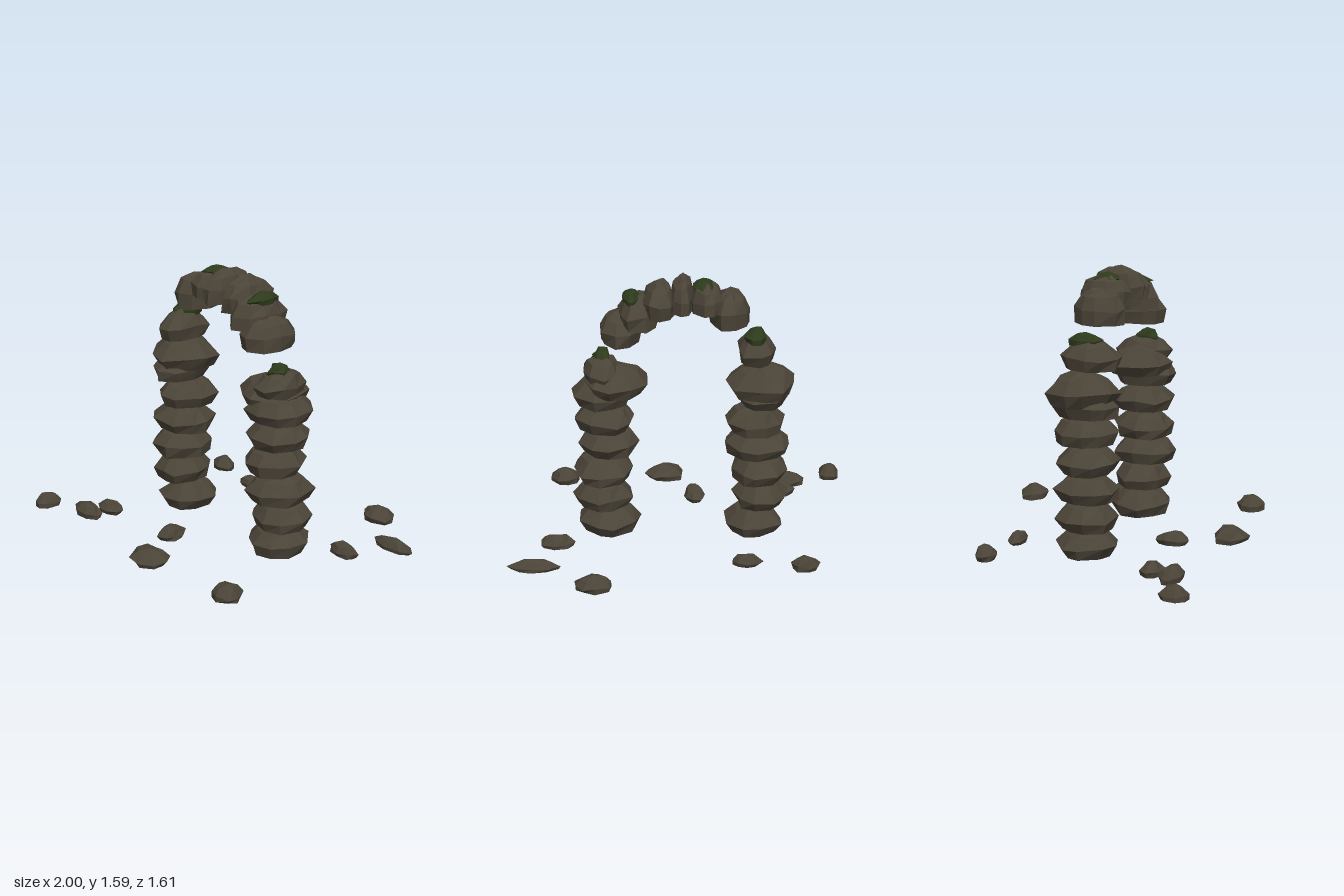
import * as THREE from 'three';

const stone = new THREE.MeshStandardMaterial({ color: 0x4a4337 });
stone.name = 'stone';
const moss = new THREE.MeshStandardMaterial({ color: 0x2d3a1b });
moss.name = 'moss';

// Small seeded generator, so that every stone is irregular but repeatable
function seeded(seed) {
  let s = seed * 7919 + 17;
  const next = () => (s = (s * 16807) % 2147483647) / 2147483647;
  next(); next();
  return next;
}

// Faceted boulder with a flat base, fitted to the box [x0, x1, y0, y1, z0, z1].
// rings: [height, radius] of each cross-section
function boulder(box, seed, rings, sides, rough) {
  const rnd = seeded(seed);
  const jitter = (k) => (rnd() - 0.5) * 2 * k;
  const turn = rnd() * 6.28;
  const angles = Array.from({ length: sides }, (_, i) => turn + ((i + jitter(0.2)) / sides) * Math.PI * 2);
  const points = [];
  rings.forEach(([h, r], level) => {
    for (const a of angles) {
      const radius = r * (1 + jitter(rough));
      const y = level === 0 ? 0 : h + jitter(rough * 0.7);
      points.push(new THREE.Vector3(Math.cos(a) * radius, y, Math.sin(a) * radius));
    }
  });
  points.push(new THREE.Vector3(0, 0, 0), new THREE.Vector3(jitter(0.2), 1.03, jitter(0.2)));

  // Stretch the rough shape to its exact box
  const b = new THREE.Box3().setFromPoints(points);
  const fit = (v, lo, hi, a, c) => a + ((v - lo) / (hi - lo)) * (c - a);
  for (const p of points) {
    p.set(
      fit(p.x, b.min.x, b.max.x, box[0], box[1]),
      fit(p.y, b.min.y, b.max.y, box[2], box[3]),
      fit(p.z, b.min.z, b.max.z, box[4], box[5]));
  }

  const index = [];
  const base = sides * rings.length, top = base + 1, last = sides * (rings.length - 1);
  for (let i = 0; i < sides; i++) {
    const j = (i + 1) % sides;
    index.push(base, i, j, top, last + j, last + i);
    for (let k = 0; k < rings.length - 1; k++) {
      const a = k * sides + i, c = k * sides + j;
      index.push(a, a + sides, c, c, a + sides, c + sides);
    }
  }
  const geo = new THREE.BufferGeometry().setFromPoints(points);
  geo.setIndex(index);
  const flat = geo.toNonIndexed();
  flat.computeVertexNormals();
  return flat;
}

const PILLAR = [[0, 0.83], [0.4, 1], [0.78, 0.68], [0.95, 0.3]];
const ARCH = [[0, 0.95], [0.45, 1], [0.8, 0.72], [0.97, 0.3]];
const RUBBLE = [[0, 0.88], [0.35, 1], [0.75, 0.62]];
const CLUMP = [[0, 0.9], [0.4, 1], [0.8, 0.6]];

export function createModel() {
  const model = new THREE.Group();
  model.name = 'ruinedStoneArch';
  let seed = 1;

  const addGroup = (name, partName, boxes, material, rings, sides, rough) => {
    const group = new THREE.Group();
    group.name = name;
    boxes.forEach((box, i) => {
      const mesh = new THREE.Mesh(boulder(box, seed++, rings, sides, rough), material);
      mesh.name = partName + (i + 1);
      group.add(mesh);
    });
    model.add(group);
  };

  // Stacked stones of the taller pillar
  addGroup('rightPillar', 'pillarStone', [
    [-0.60, -0.26, 0.005, 0.175, -0.17, 0.19],
    [-0.64, -0.30, 0.17, 0.34, -0.16, 0.19],
    [-0.63, -0.30, 0.335, 0.505, -0.16, 0.20],
    [-0.635, -0.26, 0.50, 0.665, -0.16, 0.20],
    [-0.61, -0.26, 0.66, 0.83, -0.16, 0.20],
    [-0.62, -0.32, 0.82, 0.98, -0.16, 0.21],
    [-0.66, -0.26, 0.89, 1.085, -0.19, 0.21],
    [-0.55, -0.33, 1.08, 1.26, -0.14, 0.20],
  ], stone, PILLAR, 9, 0.09);

  // Stacked stones of the broken pillar
  addGroup('leftPillar', 'pillarStone', [
    [0.235, 0.60, 0.005, 0.175, -0.18, 0.20],
    [0.28, 0.64, 0.17, 0.34, -0.155, 0.19],
    [0.28, 0.63, 0.335, 0.505, -0.155, 0.22],
    [0.24, 0.60, 0.50, 0.665, -0.155, 0.21],
    [0.27, 0.615, 0.66, 0.825, -0.16, 0.21],
    [0.29, 0.635, 0.82, 0.99, -0.16, 0.22],
    [0.19, 0.56, 0.89, 1.06, -0.195, 0.22],
    [0.34, 0.56, 0.96, 1.12, -0.15, 0.20],
  ], stone, PILLAR, 9, 0.09);

  // Wedge stones of the floating arch
  addGroup('arch', 'archStone', [
    [-0.395, -0.165, 1.31, 1.51, -0.13, 0.18],
    [-0.24, -0.05, 1.40, 1.565, -0.14, 0.16],
    [-0.075, 0.06, 1.40, 1.59, -0.13, 0.20],
    [0.03, 0.22, 1.375, 1.575, -0.16, 0.17],
    [0.12, 0.36, 1.31, 1.49, -0.15, 0.20],
    [0.22, 0.46, 1.21, 1.39, -0.15, 0.20],
  ], stone, ARCH, 9, 0.09);

  // Moss clumps on the upper stones
  addGroup('mossClumps', 'moss', [
    [-0.49, -0.36, 1.21, 1.29, -0.09, 0.11],
    [-0.20, -0.07, 1.515, 1.58, -0.08, 0.10],
    [0.22, 0.33, 1.445, 1.515, -0.09, 0.14],
    [0.41, 0.51, 1.07, 1.15, -0.04, 0.12],
  ], moss, CLUMP, 7, 0.18);

  // Fallen rubble: [x, z, width, depth, height]
  const rubble = [
    [0.49, -0.72, 0.21, 0.17, 0.09], [-0.72, -0.49, 0.17, 0.12, 0.09],
    [-0.39, -0.45, 0.18, 0.10, 0.07], [0.84, -0.505, 0.31, 0.11, 0.07],
    [0.715, -0.23, 0.20, 0.12, 0.08], [-0.085, 0.40, 0.13, 0.20, 0.085],
    [-0.615, 0.465, 0.19, 0.12, 0.08], [-0.665, 0.595, 0.22, 0.13, 0.085],
    [-0.94, 0.705, 0.125, 0.16, 0.085], [0.11, 0.70, 0.24, 0.20, 0.09],
    [0.73, 0.63, 0.18, 0.17, 0.09],
  ].map(([x, z, w, d, h]) => [x - w / 2, x + w / 2, 0, h, z - d / 2, z + d / 2]);
  addGroup('rubble', 'fallenStone', rubble, stone, RUBBLE, 8, 0.14);

  return model;
}
